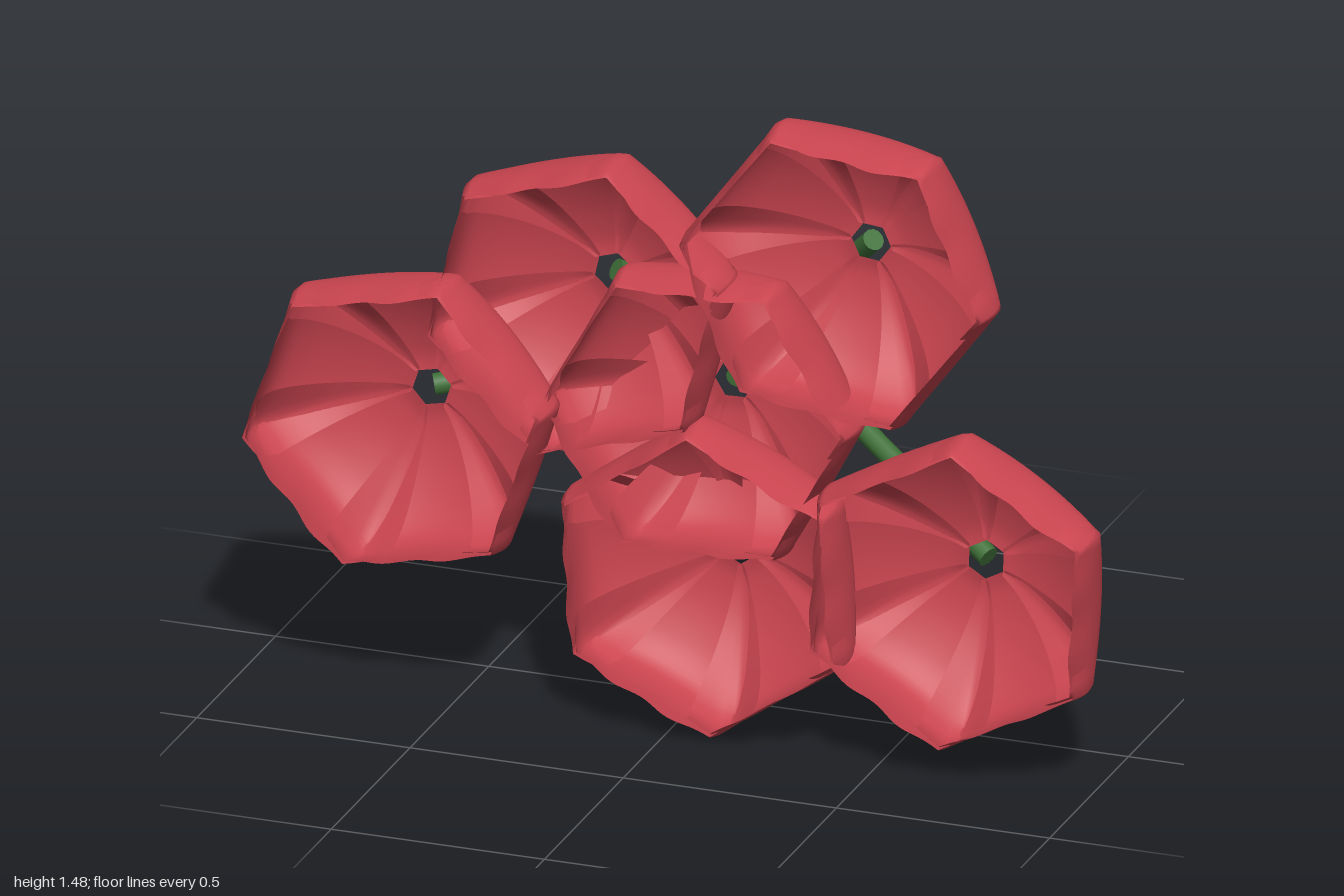
import * as THREE from 'three';

const petalMaterial = new THREE.MeshStandardMaterial({ color: 0xc9444f, side: THREE.DoubleSide });
petalMaterial.name = 'petal red';
const stemMaterial = new THREE.MeshStandardMaterial({ color: 0x3f7038 });
stemMaterial.name = 'stem green';

// Flower centres and the angle (degrees) of one corner of each six-sided rim
const FLOWERS = [
  { at: [0.395, 1.14, -0.02], corner: 54 },
  { at: [-0.22, 0.97, -0.05], corner: 17 },
  { at: [-0.63, 0.655, -0.005], corner: 12 },
  { at: [0.08, 0.37, -0.035], corner: 35 },
  { at: [0.67, 0.43, -0.005], corner: 28 },
  { at: [0.06, 0.75, -0.06], corner: 2 },
];
const JOINT = new THREE.Vector3(0.04, 0.77, -0.295);

// Centre line of a petal: x = distance from the flower axis, y = forward depth
const profile = new THREE.SplineCurve([
  [0.04, 0.014], [0.08, 0.012], [0.15, 0.027], [0.22, 0.055],
  [0.278, 0.09], [0.315, 0.135], [0.32, 0.21], [0.304, 0.298],
].map(([r, z]) => new THREE.Vector2(r, z)));
const SHOULDER = 5 / 7;
const SEAM = Math.tan(Math.PI / 6);

// One cupped petal along +x; its edges fold in behind the neighbouring petals
function petalGeometry() {
  const geometry = new THREE.PlaneGeometry(2, 1, 28, 28);
  const position = geometry.attributes.position;
  for (let i = 0; i < position.count; i++) {
    const v = position.getX(i);
    const t = position.getY(i) + 0.5;
    const p = profile.getPoint(t);
    const tip = Math.max(0, (t - SHOULDER) / (1 - SHOULDER));
    const rise = Math.min(1, t / SHOULDER);
    const spread = THREE.MathUtils.lerp(0.8, 0.7, rise) - 0.03 * tip;
    const side = v * p.x * spread;
    const fold = Math.max(0, Math.abs(side) - p.x * SEAM);
    const depth = p.y + 0.95 * side * side * (1 - tip) + 0.2 * fold
      - tip * (0.035 * v ** 4 + 0.008 * Math.cos(9 * v));
    // One edge sits inside its neighbour, the other outside
    const lean = 0.006 * v * Math.min(1, t * 2);
    position.setXYZ(i, p.x + lean * tip - 2 * fold * rise, side, depth - lean * (1 - tip));
  }
  geometry.computeVertexNormals();
  return geometry;
}

function makeFlower({ at, corner }, geometry) {
  const flower = new THREE.Group();
  flower.name = 'flower';
  for (let i = 0; i < 6; i++) {
    const petal = new THREE.Mesh(geometry, petalMaterial);
    petal.name = 'petal';
    petal.rotation.z = THREE.MathUtils.degToRad(corner + 30 + i * 60);
    flower.add(petal);
  }
  flower.position.set(...at);
  return flower;
}

// Straight round stem from the shared joint to the base of a flower
function makeStem({ at }) {
  const end = new THREE.Vector3(...at);
  const direction = end.clone().sub(JOINT);
  const stem = new THREE.Mesh(
    new THREE.CylinderGeometry(0.025, 0.025, direction.length(), 12), stemMaterial);
  stem.name = 'stem';
  stem.position.copy(JOINT).add(end).multiplyScalar(0.5);
  stem.quaternion.setFromUnitVectors(new THREE.Vector3(0, 1, 0), direction.normalize());
  return stem;
}

export function createModel() {
  const model = new THREE.Group();
  model.name = 'flowerCluster';
  const geometry = petalGeometry();
  for (const flower of FLOWERS) model.add(makeFlower(flower, geometry), makeStem(flower));
  return model;
}
